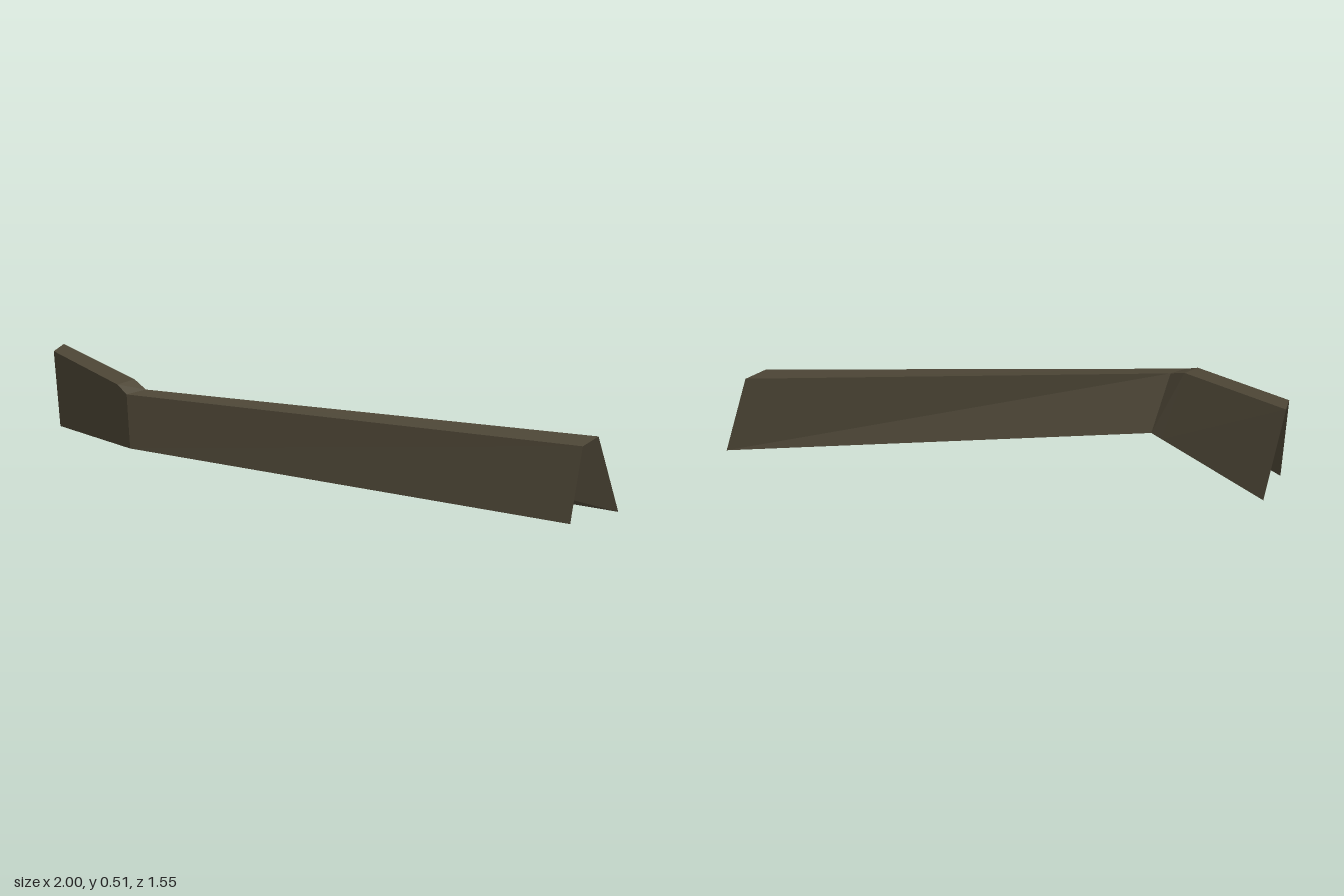
import * as THREE from 'three';

// Cross-sections along the channel: front bottom, front top, rear ridge, rear bottom
const SECTIONS = [
  [[-0.92, 0.15, 0.775], [-0.92, 0.51, 0.775], [-0.965, 0.512, 0.70], [-1.0, 0.15, 0.572]],
  [[-0.46, 0.212, 0.731], [-0.46, 0.494, 0.731], [-0.46, 0.496, 0.648], [-0.46, 0.213, 0.534]],
  [[-0.40, 0.22, 0.725], [-0.40, 0.468, 0.725], [-0.39, 0.47, 0.638], [-0.40, 0.22, 0.53]],
  [[0.945, 0.003, -0.535], [0.957, 0.355, -0.557], [0.936, 0.356, -0.675], [0.995, 0.0, -0.775]],
];

// Flat panels joining neighbouring sections between profile points j and j + 1
function panelStrip(j) {
  const pos = [];
  for (let i = 0; i < SECTIONS.length - 1; i++) {
    const a = SECTIONS[i][j], b = SECTIONS[i + 1][j];
    const c = SECTIONS[i + 1][j + 1], d = SECTIONS[i][j + 1];
    pos.push(...a, ...b, ...c, ...a, ...c, ...d);
  }
  const geo = new THREE.BufferGeometry();
  geo.setAttribute('position', new THREE.Float32BufferAttribute(pos, 3));
  geo.computeVertexNormals();
  return geo;
}

export function createModel() {
  const group = new THREE.Group();
  group.name = 'bentChannel';
  const olive = new THREE.MeshStandardMaterial({ color: 0x4d4636, side: THREE.DoubleSide, flatShading: true });
  olive.name = 'darkOlive';

  // Open-bottomed channel: two walls joined by a narrow top
  ['frontWall', 'topStrip', 'rearWall'].forEach((name, j) => {
    const mesh = new THREE.Mesh(panelStrip(j), olive);
    mesh.name = name;
    group.add(mesh);
  });
  return group;
}
